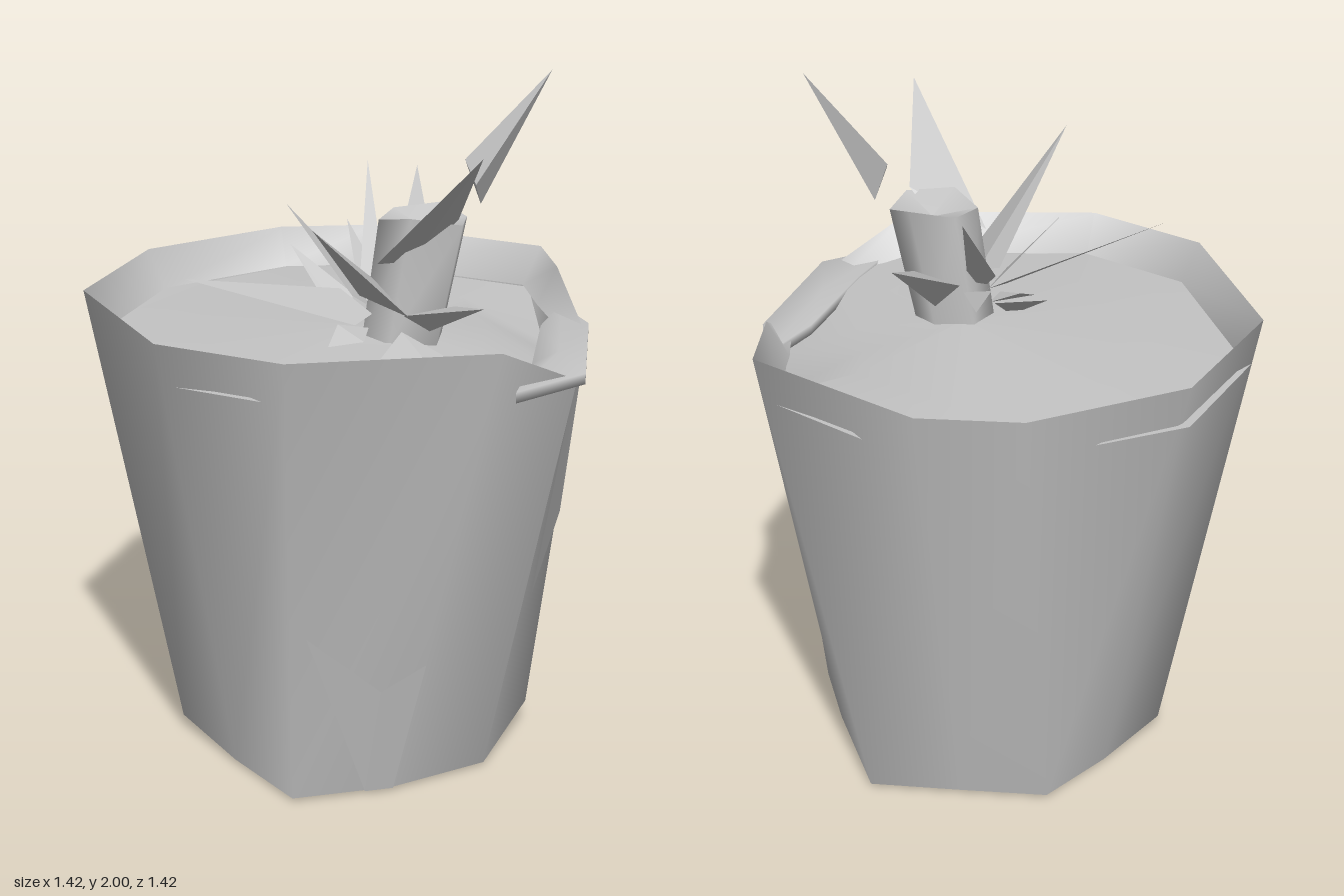
import * as THREE from 'three';

const grey = new THREE.MeshStandardMaterial({ color: 0xc4c4c4, side: THREE.DoubleSide });
grey.name = 'plain grey';

// Pot corners in plan, [x, z], clockwise from the back when seen from above
const rim = [[-0.07, -0.72], [0.22, -0.7], [0.67, -0.36], [0.66, -0.12], [0.68, 0.15], [0.55, 0.55],
  [0.31, 0.7], [-0.26, 0.7], [-0.57, 0.47], [-0.72, -0.08], [-0.5, -0.51]];
const foot = [[-0.13, -0.44], [0.12, -0.42], [0.385, -0.395], [0.5, -0.05], [0.55, 0.08], [0.37, 0.32],
  [0.08, 0.43], [-0.21, 0.455], [-0.34, 0.19], [-0.465, -0.07], [-0.3, -0.255]];
const N = rim.length;
const ring = (pts, y, s = 1) => pts.map(([x, z], i) => [x * s, typeof y === 'function' ? y(i) : y, z * s]);
const rimY = i => (i === 4 || i === 5 ? 1.24 : 1.37);
const footY = i => (i === 4 ? 0.08 : i === 9 ? 0.04 : 0.01);

// Skin between rings of equal length, listed from low/outer to high/inner
function loft(rings) {
  const n = rings[0].length, index = [];
  for (let r = 0; r < rings.length - 1; r++) {
    for (let i = 0; i < n; i++) {
      const a = r * n + i, b = r * n + (i + 1) % n;
      index.push(a, a + n, b, b, a + n, b + n);
    }
  }
  const g = new THREE.BufferGeometry();
  g.setAttribute('position', new THREE.Float32BufferAttribute(rings.flat(2), 3));
  g.setIndex(index);
  g.computeVertexNormals();
  return g;
}

// Flat sheet: a fan of triangles around its first point
function fan(pts) {
  const p = [];
  for (let i = 1; i < pts.length - 1; i++) p.push(...pts[0], ...pts[i], ...pts[i + 1]);
  const g = new THREE.BufferGeometry();
  g.setAttribute('position', new THREE.Float32BufferAttribute(p, 3));
  g.computeVertexNormals();
  return g;
}

// Point just outside wall panel i: t runs along the panel, h from foot to rim
function onWall(i, t, h) {
  const at = k => [0, 1].map(c => THREE.MathUtils.lerp(foot[k][c], rim[k][c], h));
  const a = at(i), b = at(i + 1);
  return [1.015 * THREE.MathUtils.lerp(a[0], b[0], t), 0.01 + 1.3 * h, 1.015 * THREE.MathUtils.lerp(a[1], b[1], t)];
}

// Leaf: a slim three-sided spike from two base corners and a keel to the tip
function spike(tip, a, b, keel) {
  const p = [[a, b, tip], [b, keel, tip], [keel, a, tip], [a, keel, b]];
  const g = new THREE.BufferGeometry();
  g.setAttribute('position', new THREE.Float32BufferAttribute(p.flat(2), 3));
  g.computeVertexNormals();
  return g;
}

export function createModel() {
  const model = new THREE.Group();
  model.name = 'pottedPlant';
  const add = (name, geometry, parent = model) => {
    const m = new THREE.Mesh(geometry, grey);
    m.name = name;
    parent.add(m);
  };

  // Tapered pot with its notched front left corner
  add('potWall', loft([ring(foot, footY), ring(rim, rimY)]));
  add('potBase', loft([Array(N).fill([0.02, 0, 0]), ring(foot, footY)]));
  add('innerRim', loft([ring(rim, rimY), ring(rim, i => Math.min(rimY(i), 1.26), 0.91)]));

  // Soil, sinking beside the left wall
  add('soil', loft([
    ring(rim, i => (i === 3 || i === 4 ? 1.15 : 1.25), 0.94),
    ring(rim, 1.26, 0.6),
    Array(N).fill([0.12, 1.28, 0.1]),
  ]));

  // Broken lip lying in the notch
  const lip = [[0.67, -0.1], [0.7, 0.1], [0.57, 0.56], [0.35, 0.69], [0.45, 0.45], [0.56, 0.1]];
  const lipMiddle = y => Array(6).fill([0.55, y, 0.35]);
  add('lip', loft([lipMiddle(1.23), ring(lip, 1.23), ring(lip, 1.26), lipMiddle(1.26)]));

  // Soil edges that break through the wall
  add('frontSoilEdge', fan([[-0.52, 1.255, 0.49], [-0.31, 1.255, 0.65], [-0.35, 1.255, 0.58]]));
  add('leftSoilEdge', fan([[0.61, 1.255, -0.4], [0.36, 1.255, -0.6], [0.4, 1.255, -0.54]]));
  add('backSoilEdge', fan([[-0.25, 1.255, -0.62], [-0.5, 1.255, -0.51], [-0.69, 1.255, -0.12], [-0.45, 1.255, -0.45]]));

  // Flat facets on the wall
  add('frontFacet', fan([[0.3, 0.26], [0.88, 0.41], [0.28, 0], [0, 0], [0, 0.32]].map(([t, h]) => onWall(6, t, h))));
  add('sideFacet', fan([[0, 0.53], [0.7, 0.4], [0.95, 0.92], [0, 0.92]].map(([t, h]) => onWall(4, t, h))));

  // Short leaning stem with a hollowed top
  const stem = [[0.14, 0.06], [0.27, 0.07], [0.33, 0.15], [0.29, 0.28], [0.15, 0.26], [0.08, 0.16]];
  const shift = (dx, y, s) => stem.map(([x, z], i) =>
    [0.21 + (x - 0.21) * s + dx, y + 0.015 * Math.sin(i * 2), 0.17 + (z - 0.17) * s]);
  add('stem', loft([shift(-0.06, 1.26, 0.9), shift(0, 1.61, 1)]));
  add('stemTop', loft([shift(0, 1.61, 1), Array(6).fill([0.21, 1.57, 0.17])]));

  // Leaves: tip, two base corners, keel
  const leaves = new THREE.Group();
  leaves.name = 'leaves';
  model.add(leaves);
  [
    [[0.56, 2, 0.15], [0.33, 1.75, 0.11], [0.34, 1.7, 0.21], [0.37, 1.63, 0.14]],
    [[0.28, 1.85, 0.56], [0.06, 1.5, 0.25], [0.28, 1.62, 0.27], [0.17, 1.49, 0.2]],
    [[-0.17, 1.69, 0.6], [0.02, 1.4, 0.2], [0.14, 1.36, 0.3], [0.08, 1.42, 0.14]],
    [[-0.47, 1.5, 0.32], [-0.02, 1.4, 0.12], [0, 1.33, 0.25], [0.06, 1.34, 0.18]],
    [[0.29, 1.63, -0.37], [0.13, 1.4, 0.07], [0.26, 1.44, 0.08], [0.2, 1.34, 0.06]],
    [[0.07, 1.49, -0.31], [0.04, 1.38, 0.08], [0.12, 1.38, 0.07], [0.08, 1.32, 0.12]],
    [[0.11, 1.69, -0.19], [0.03, 1.4, 0.14], [0.11, 1.42, 0.1], [0.08, 1.34, 0.16]],
    [[-0.12, 1.46, -0.16], [-0.05, 1.34, 0.04], [0.03, 1.36, 0.04], [0, 1.3, 0.12]],
    [[-0.16, 1.63, 0.05], [0.03, 1.42, 0.05], [0, 1.4, 0.2], [0.06, 1.35, 0.14]],
    [[0.29, 1.45, 0.56], [0.13, 1.35, 0.25], [0.27, 1.38, 0.28], [0.2, 1.3, 0.25]],
    [[0.16, 1.28, 0.47], [0.03, 1.27, 0.42], [0.12, 1.32, 0.3], [0.22, 1.28, 0.42]],
    [[-0.08, 1.28, 0.28], [0.02, 1.29, 0.28], [0.05, 1.3, 0.18], [-0.04, 1.32, 0.2]],
  ].forEach((leaf, i) => add(`leaf${i + 1}`, spike(...leaf), leaves));

  return model;
}
